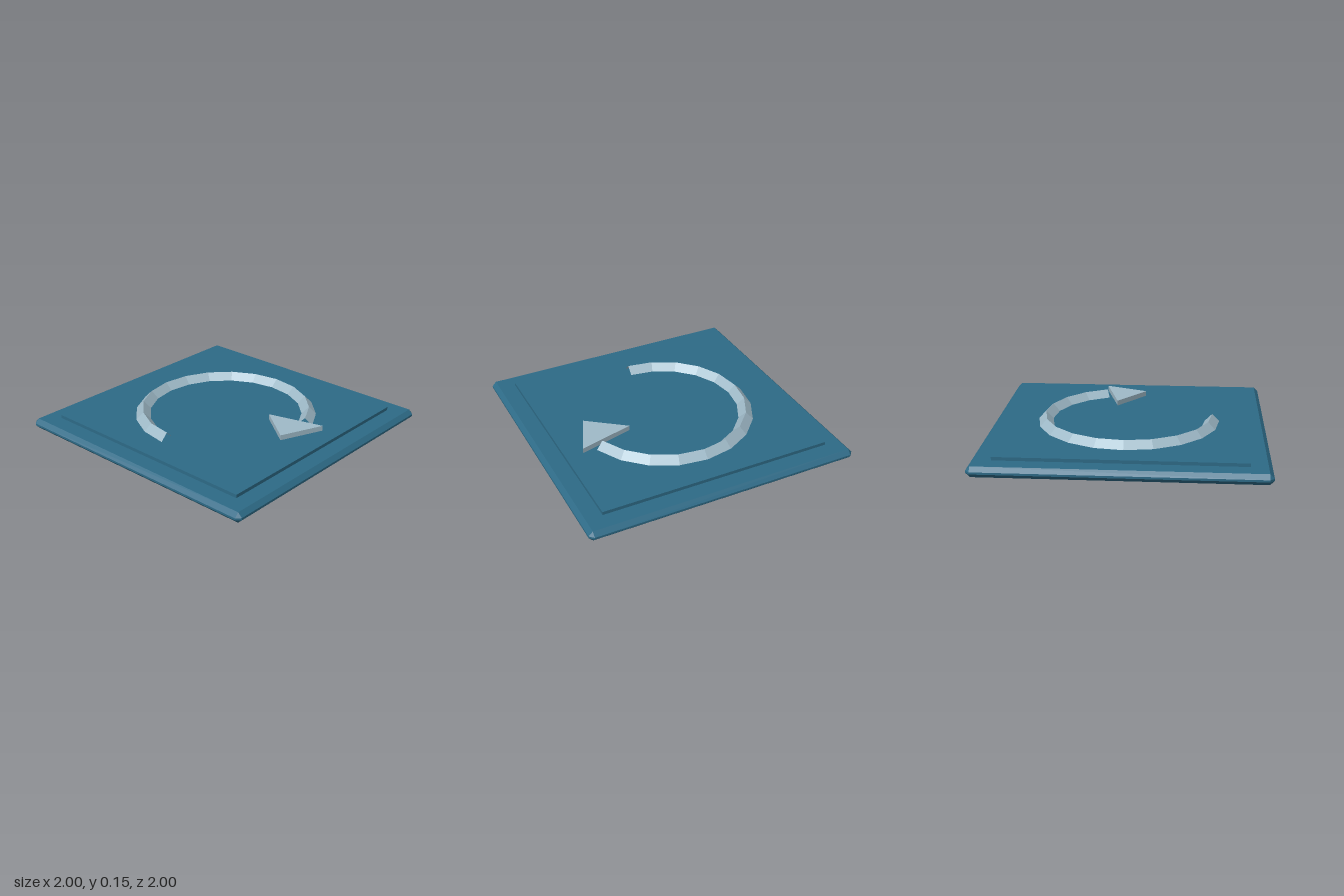
import * as THREE from 'three';
import { ConvexGeometry } from 'three/addons/geometries/ConvexGeometry.js';

// Box with every edge cut flat and a small triangle at each corner
function chamferedBox(w, h, d, c) {
  const points = [];
  for (const sx of [-1, 1]) for (const sy of [-1, 1]) for (const sz of [-1, 1]) {
    for (const [cx, cy, cz] of [[0, c, c], [c, 0, c], [c, c, 0]]) {
      points.push(new THREE.Vector3(sx * (w / 2 - cx), sy * (h / 2 - cy), sz * (d / 2 - cz)));
    }
  }
  return new ConvexGeometry(points);
}

export function createModel() {
  const group = new THREE.Group();
  const blue = new THREE.MeshStandardMaterial({ color: 0x2d6a86, flatShading: true });
  blue.name = 'deep blue';
  const silver = new THREE.MeshStandardMaterial({ color: 0x9fbac8, flatShading: true, side: THREE.DoubleSide });
  silver.name = 'pale blue grey';

  const add = (name, geometry, material, y) => {
    const mesh = new THREE.Mesh(geometry, material);
    mesh.name = name;
    mesh.position.y = y;
    group.add(mesh);
  };

  // Square slab and the raised panel on it
  add('baseSlab', chamferedBox(2, 0.075, 2, 0.03), blue, 0.0375);
  add('raisedPanel', new THREE.BoxGeometry(1.706, 0.025, 1.706), blue, 0.0865);

  // Diamond-section ring, half sunk into the panel, sweeping 250 degrees
  const ring = new THREE.TorusGeometry(0.611, 0.053, 4, 14, THREE.MathUtils.degToRad(250));
  ring.rotateZ(THREE.MathUtils.degToRad(20));
  ring.rotateX(-Math.PI / 2);
  add('arrowRing', ring, silver, 0.099);

  // Flat triangular arrowhead at the open end of the ring
  const tip = new THREE.Shape([[0.322, 0.11], [0.595, -0.096], [0.724, 0.218]]
    .map(([x, y]) => new THREE.Vector2(x, y)));
  const head = new THREE.ExtrudeGeometry(tip, { depth: 0.039, bevelEnabled: false });
  head.rotateX(-Math.PI / 2);
  add('arrowHead', head, silver, 0.098);

  return group;
}
